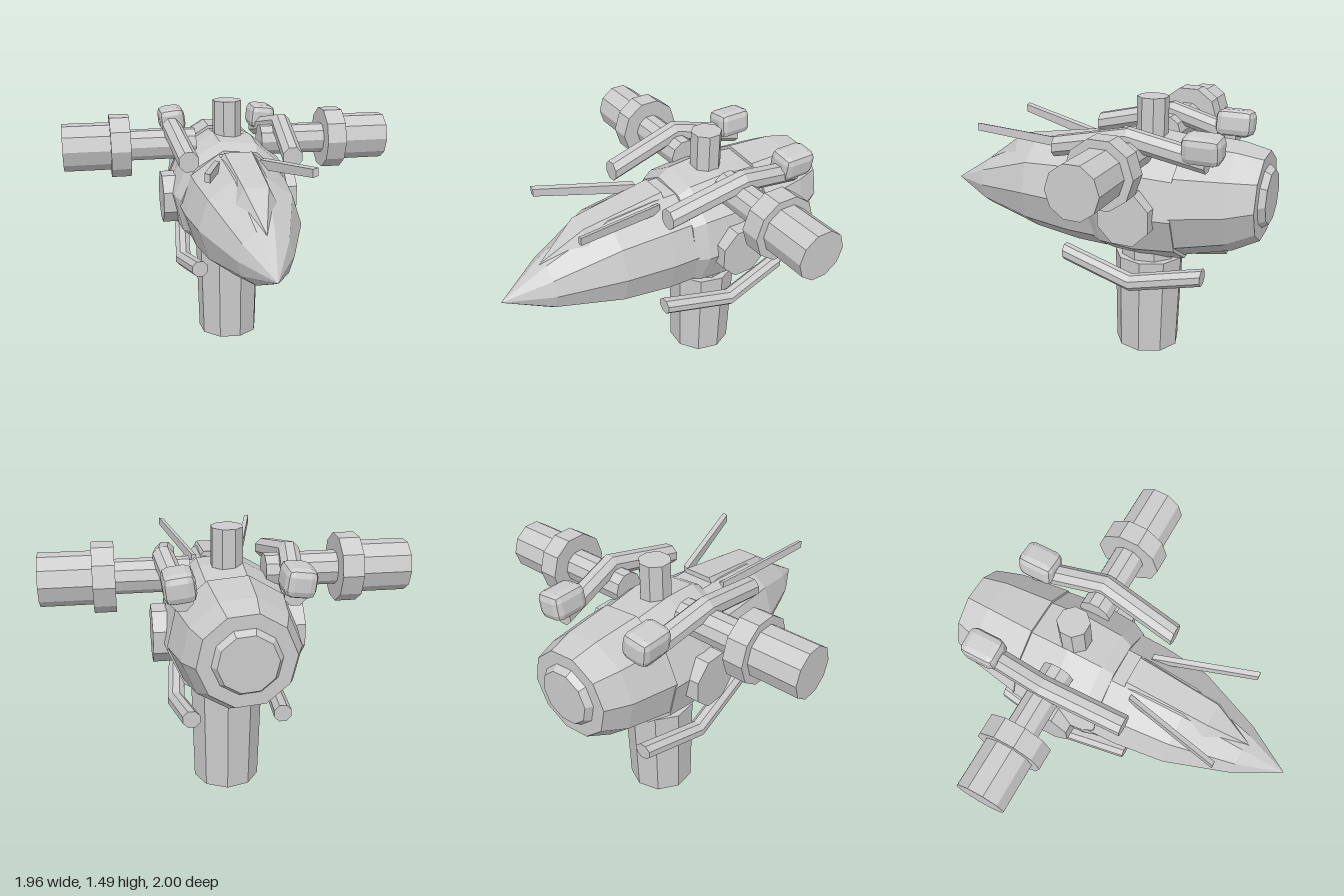
import * as THREE from 'three';
import { RoundedBoxGeometry } from 'three/addons/geometries/RoundedBoxGeometry.js';

const material = new THREE.MeshStandardMaterial({ color: 0xcccccc, flatShading: true });

// Polygon ring facing +z, counter-clockwise seen from the front
function ring(x, y, z, r, n, turn = 0) {
  return Array.from({ length: n }, (_, i) => {
    const a = turn + (i / n) * Math.PI * 2;
    return new THREE.Vector3(x + Math.cos(a) * r, y + Math.sin(a) * r, z);
  });
}

// Closed skin over equal-sized rings ordered from back to front
function loft(rings) {
  const p = [], n = rings[0].length;
  const tri = (...v) => v.forEach((q) => p.push(q.x, q.y, q.z));
  for (let i = 0; i < rings.length - 1; i++) {
    for (let j = 0; j < n; j++) {
      const k = (j + 1) % n, A = rings[i], B = rings[i + 1];
      tri(A[j], A[k], B[k]);
      tri(A[j], B[k], B[j]);
    }
  }
  const back = rings[0], front = rings[rings.length - 1];
  for (let j = 1; j < n - 1; j++) {
    tri(back[0], back[j + 1], back[j]);
    tri(front[0], front[j], front[j + 1]);
  }
  const g = new THREE.BufferGeometry();
  g.setAttribute('position', new THREE.Float32BufferAttribute(p, 3));
  g.computeVertexNormals();
  return g;
}

// Mirror rings across x = 0 while keeping their winding
const mirror = (rings, s) => (s > 0 ? rings
  : rings.map((r) => r.map((v) => new THREE.Vector3(-v.x, v.y, v.z)).reverse()));

export function createModel() {
  const model = new THREE.Group();
  const add = (name, geometry, x = 0, y = 0, z = 0) => {
    const m = new THREE.Mesh(geometry, material);
    m.name = name;
    m.position.set(x, y, z);
    model.add(m);
    return m;
  };

  // Hull sections: z, centre height, radius
  const hull = (name, rows, turn = 0) =>
    add(name, loft(rows.map(([z, y, r]) => ring(0, y, z, r, 10, turn))));
  hull('nose', [[-0.08, 0.915, 0.325], [0.1, 0.915, 0.32], [0.38, 0.915, 0.285],
    [0.74, 0.87, 0.15], [1, 0.845, 0.001]]);
  const turn = -0.09;
  hull('middleHull', [[-0.55, 0.935, 0.345], [-0.31, 0.935, 0.37], [-0.11, 0.935, 0.355],
    [-0.04, 0.93, 0.32]], turn);
  hull('rearHull', [[-0.965, 1.01, 0.245], [-0.82, 0.985, 0.3], [-0.54, 0.955, 0.345]], turn);
  hull('rearCap', [[-1, 1.01, 0.15], [-0.955, 1.01, 0.18]], turn);

  // Faceted canopy tapering to a point
  const canopyRows = [[0.04, 0.145, 1.16, 1.25], [0.52, 0.12, 1.07, 1.175], [0.76, 0.002, 1.0, 1.005]];
  add('canopy', loft(canopyRows.map(([z, w, low, high]) => [
    [w, low], [w * 0.55, high], [-w * 0.55, high], [-w, low],
  ].map(([x, y]) => new THREE.Vector3(x, y, z)))));

  // Stand and top post
  const stand = new THREE.CylinderGeometry(0.2, 0.187, 0.57, 9);
  stand.rotateY(0.26);
  add('stand', stand, 0, 0.285, -0.31);
  add('standNeck', new THREE.CylinderGeometry(0.165, 0.165, 0.12, 9), 0, 0.6, -0.31);
  const post = new THREE.CylinderGeometry(0.088, 0.088, 0.35, 8);
  post.rotateY(Math.PI / 8);
  add('topPost', post, 0, 1.315, -0.31);

  for (const s of [1, -1]) {
    const side = s > 0 ? 'left' : 'right';

    // Sideways drums: inner x, outer x, height, inner radius, outer radius, sides
    const drum = (name, x0, x1, y, r0, r1, n, spin = 0) => {
      const g = new THREE.CylinderGeometry(s > 0 ? r0 : r1, s > 0 ? r1 : r0, x1 - x0, n);
      g.rotateY(spin);
      g.rotateZ(Math.PI / 2);
      add(side + name, g, (s * (x0 + x1)) / 2, y, -0.31);
    };
    drum('Arm', 0.2, 0.6, 1.24, 0.092, 0.092, 10);
    drum('ArmCollar', 0.59, 0.705, 1.24, 0.185, 0.185, 10);
    drum('ArmEnd', 0.7, 0.98, 1.24, 0.14, 0.14, 10);
    drum('SideHub', 0.28, 0.41, 0.91, 0.157, 0.157, 8, Math.PI / 8);

    // Bent rails: x, y, z along the path
    const rail = (name, path, r) => add(side + name,
      loft(mirror(path.map(([x, y, z]) => ring(x, y, z, r, 8, Math.PI / 8)), s)));
    rail('UpperRail', [[0.28, 1.24, -0.72], [0.335, 1.335, -0.31], [0.295, 1.23, 0.14]], 0.06);
    rail('LowerRail', [[0.24, 0.58, -0.71], [0.285, 0.49, -0.31], [0.24, 0.585, 0.12]], 0.05);

    // Chamfered pod on the rail's rear end
    const pod = add(side + 'Pod', new RoundedBoxGeometry(0.16, 0.15, 0.21, 1, 0.04),
      s * 0.293, 1.315, -0.7);
    pod.rotation.z = -s * 0.12;

    // Thin blade sweeping up and outward from the canopy
    const blade = [[0.13, 1.19, 0.09, 0.032], [0.275, 1.275, 0.645, 0.026]];
    add(side + 'Blade', loft(mirror(blade.map(([x, y, z, h]) => [
      [0.014, -h + 0.008], [0.014, h], [-0.014, h - 0.008], [-0.014, -h],
    ].map(([dx, dy]) => new THREE.Vector3(x + dx, y + dy, z))), s)));
  }
  return model;
}
